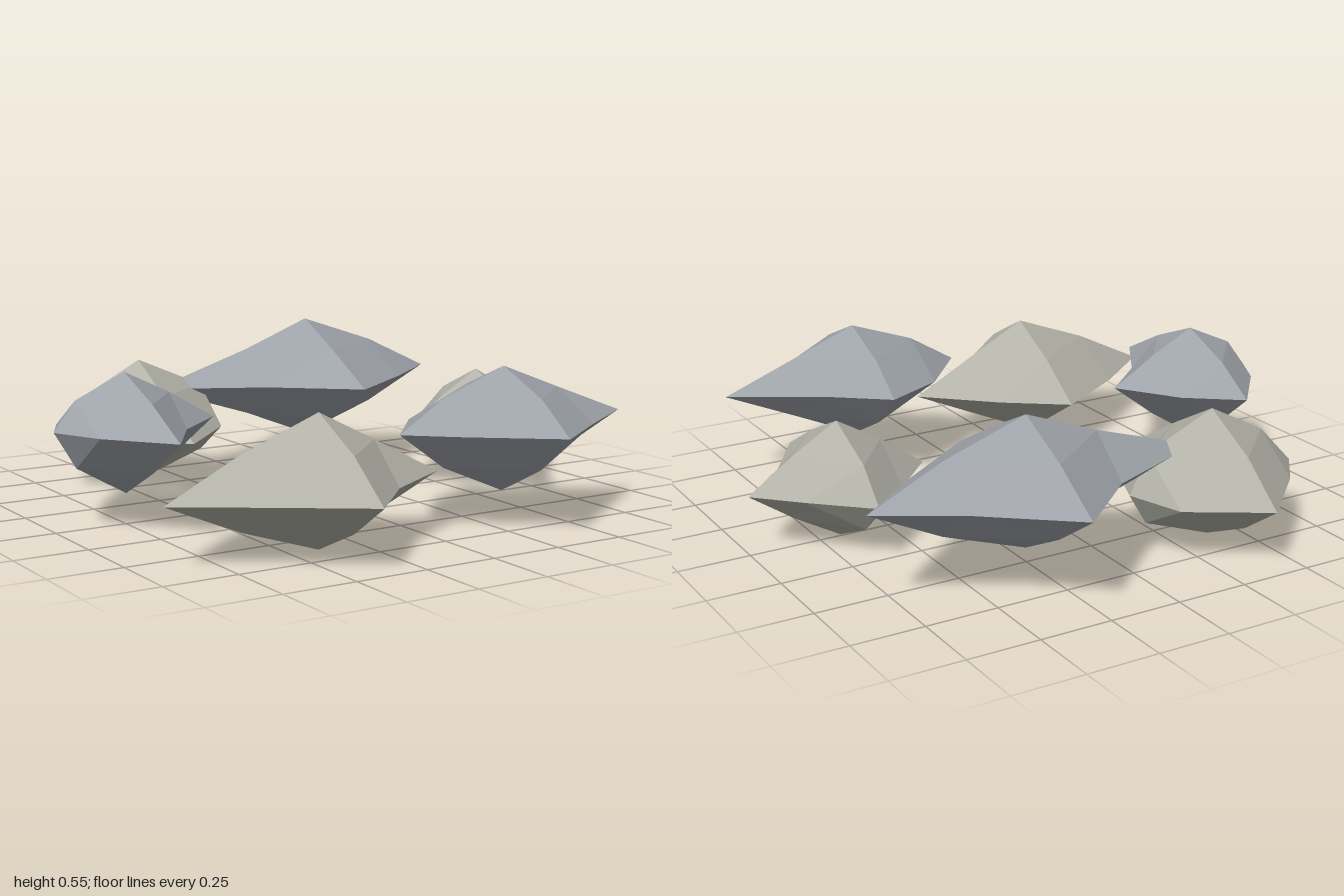
import * as THREE from 'three';

const RING_RADIUS = 0.712;
const RING_CENTRE = new THREE.Vector3(-0.04, 0, 0.01);
const SIGNS = [-1, 1];
const SHOULDER_DEPTH = 0.2;  // z reach of the upper and lower shoulders
const SHOULDER_RISE = 0.55;  // shoulder height as a share of the peak height

// Alternating stones: low warm ones and slightly higher blue-grey ones.
const KINDS = [
  { name: 'warmGreyRock', color: 0xb2b2a8, height: 0.22, bottom: 0.2 },
  { name: 'blueGreyRock', color: 0x9ea3a9, height: 0.35, bottom: 0.225 },
];

// Rocks run around the ring from +x towards +z.
// x, z: reach of the negative and positive tips; top: height of the peak;
// rim: x, z reach of the waist corners in the order -- +- -+ ++.
const ROCKS = [
  { x: [0.316, 0.32], z: [0.307, 0.4], top: 0.205, rim: [0.15, 0.175, 0.18, 0.14, 0.166, 0.162, 0.138, 0.185] },
  { x: [0.41, 0.5], z: [0.33, 0.34], top: 0.19, rim: [0.22, 0.222, 0.198, 0.173, 0.257, 0.138, 0.247, 0.165] },
  { x: [0.536, 0.45], z: [0.376, 0.36], top: 0.232, rim: [0.285, 0.2, 0.213, 0.22, 0.27, 0.175, 0.197, 0.153] },
  { x: [0.25, 0.327], z: [0.35, 0.388], top: 0.177, rim: [0.18, 0.14, 0.183, 0.21, 0.17, 0.175, 0.14, 0.165] },
  { x: [0.337, 0.32], z: [0.358, 0.422], top: 0.244, rim: [0.225, 0.145, 0.257, 0.198, 0.193, 0.214, 0.25, 0.166] },
  { x: [0.645, 0.55], z: [0.385, 0.42], top: 0.22, rim: [0.245, 0.17, 0.295, 0.15, 0.275, 0.187, 0.295, 0.208] },
];

// A once-divided octahedron: eight octants of four triangles each.
function rockGeometry({ x, z, top, rim }, bottom) {
  const positions = [];
  for (const sx of SIGNS) for (const sy of SIGNS) for (const sz of SIGNS) {
    const ix = sx > 0 ? 1 : 0;
    const iz = sz > 0 ? 1 : 0;
    const corner = 2 * ix + 4 * iz;
    const peak = sy > 0 ? top : -bottom;
    // Side shoulders follow the mean reach of the two waist corners beside them
    const shoulderX = (rim[2 * ix] + rim[2 * ix + 4]) / 2;
    const X = [sx * x[ix], 0, 0];
    const Y = [0, peak, 0];
    const Z = [0, 0, sz * z[iz]];
    const XY = [sx * shoulderX, SHOULDER_RISE * peak, 0];
    const YZ = [0, SHOULDER_RISE * peak, sz * SHOULDER_DEPTH];
    const XZ = [sx * rim[corner], 0, sz * rim[corner + 1]];
    for (const face of [[X, XY, XZ], [Y, YZ, XY], [Z, XZ, YZ], [XY, YZ, XZ]]) {
      // Mirrored octants need the opposite winding
      if (sx * sy * sz < 0) face.reverse();
      positions.push(...face.flat());
    }
  }
  const geometry = new THREE.BufferGeometry();
  geometry.setAttribute('position', new THREE.Float32BufferAttribute(positions, 3));
  geometry.computeVertexNormals();
  return geometry;
}

export function createModel() {
  const group = new THREE.Group();
  group.name = 'rockRing';
  const materials = KINDS.map(
    ({ color }) => new THREE.MeshStandardMaterial({ color, flatShading: true })
  );

  ROCKS.forEach((shape, i) => {
    const kind = KINDS[i % 2];
    const angle = (i * Math.PI) / 3;
    const rock = new THREE.Mesh(rockGeometry(shape, kind.bottom), materials[i % 2]);
    rock.name = `${kind.name}${i + 1}`;
    rock.position.set(
      RING_CENTRE.x + RING_RADIUS * Math.cos(angle),
      kind.height,
      RING_CENTRE.z + RING_RADIUS * Math.sin(angle)
    );
    group.add(rock);
  });
  return group;
}
